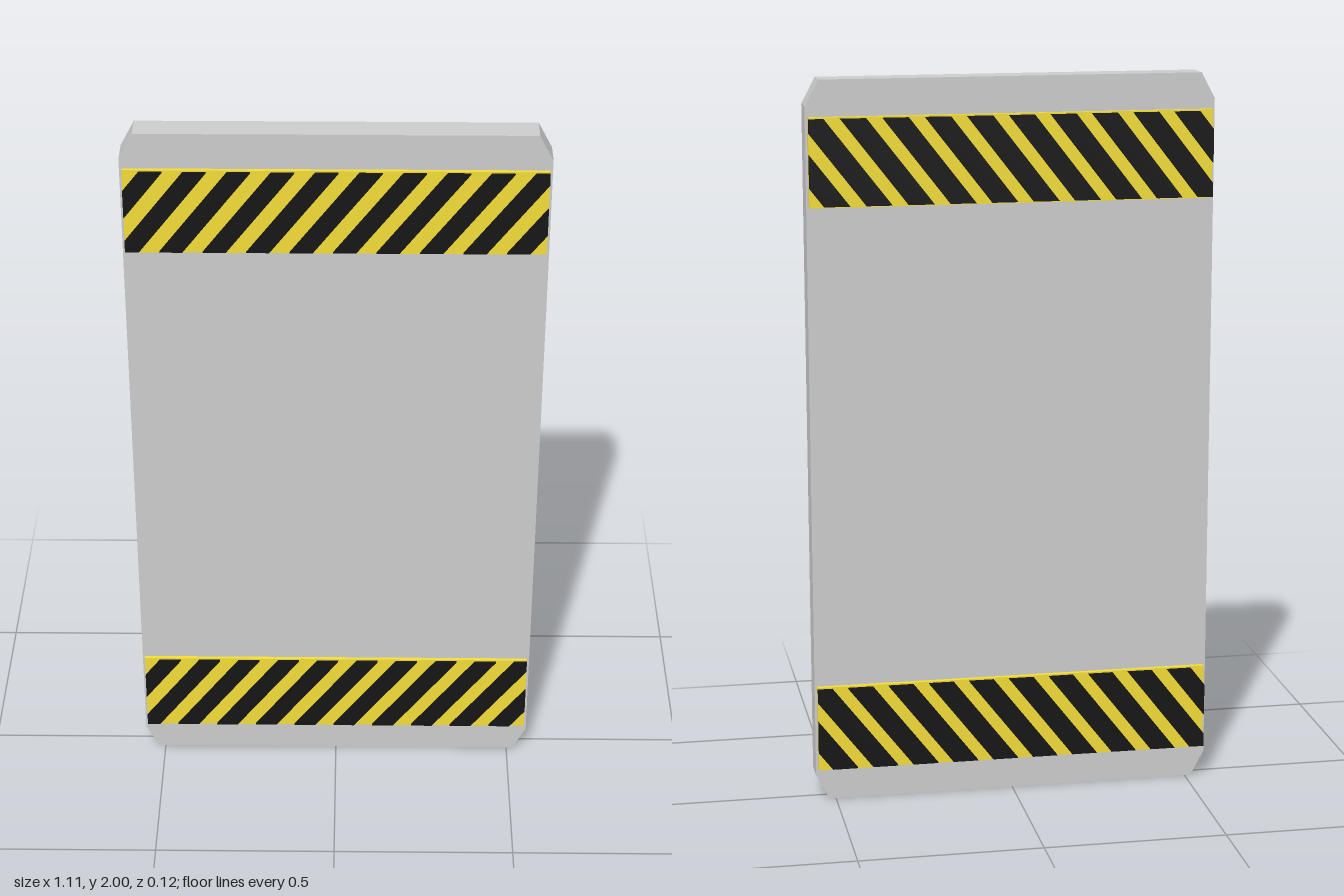
import * as THREE from 'three';

const HALF = 0.548;      // half width of the warning bands
const BAND_H = 0.24;     // band height
const LEAN = 0.18;       // sideways run of a stripe over the band height
const STRIPES = 11;
const PITCH = 0.113;

const material = (color) => new THREE.MeshStandardMaterial({ color, flatShading: true });

// Cut a polygon at x = side * HALF, keeping the inner part
function clip(points, side) {
  const out = [];
  points.forEach((a, i) => {
    const b = points[(i + 1) % points.length];
    const da = HALF - side * a.x, db = HALF - side * b.x;
    if (da >= 0) out.push(a);
    if (da * db < 0) out.push(a.clone().lerp(b, da / (da - db)));
  });
  return out;
}

// Flat slab from an outline, spanning z0 to z1
function slab(points, z0, z1, mat, name) {
  const geo = new THREE.ExtrudeGeometry(new THREE.Shape(points), { depth: z1 - z0, bevelEnabled: false });
  geo.translate(0, 0, z0);
  const mesh = new THREE.Mesh(geo, mat);
  mesh.name = name;
  return mesh;
}

export function createModel() {
  const group = new THREE.Group();
  group.name = 'doorPanel';
  const grey = material(0xcccccc), yellow = material(0xf2dc38), black = material(0x151515);
  const v = (x, y) => new THREE.Vector2(x, y);

  // Door leaf with cut corners
  const w = 0.555, cx = 0.037, cy = 0.07;
  group.add(slab([
    v(-w + cx, 0), v(w - cx, 0), v(w, cy), v(w, 2 - cy),
    v(w - cx, 2), v(-w + cx, 2), v(-w, 2 - cy), v(-w, cy),
  ], -0.035, 0.04, grey, 'leaf'));

  // Hazard bands, top and bottom on both faces
  const faces = [
    { name: 'front', plate: [0.04, 0.05], stripe: [0.05, 0.058], width: 0.06 },
    { name: 'back', plate: [-0.048, -0.035], stripe: [-0.061, -0.048], width: 0.07 },
  ];
  for (const face of faces) {
    for (const [level, y] of [['Bottom', 0.09], ['Top', 1.662]]) {
      const band = new THREE.Group();
      band.name = `${face.name}${level}Band`;
      band.position.y = y;
      band.add(slab([v(-HALF, 0), v(HALF, 0), v(HALF, BAND_H), v(-HALF, BAND_H)],
        ...face.plate, yellow, 'bandPlate'));

      // Slanted stripes, trimmed at the ends of the band
      const lo = 0.004, hi = BAND_H - 0.004;
      for (let i = 0; i < STRIPES; i++) {
        const mid = (i - (STRIPES - 1) / 2) * PITCH;
        const l = mid - (LEAN + face.width) / 2, r = l + face.width;
        const outline = clip(clip([v(l, lo), v(r, lo), v(r + LEAN, hi), v(l + LEAN, hi)], 1), -1);
        if (outline.length > 2) band.add(slab(outline, ...face.stripe, black, 'stripe'));
      }
      group.add(band);
    }
  }
  return group;
}
